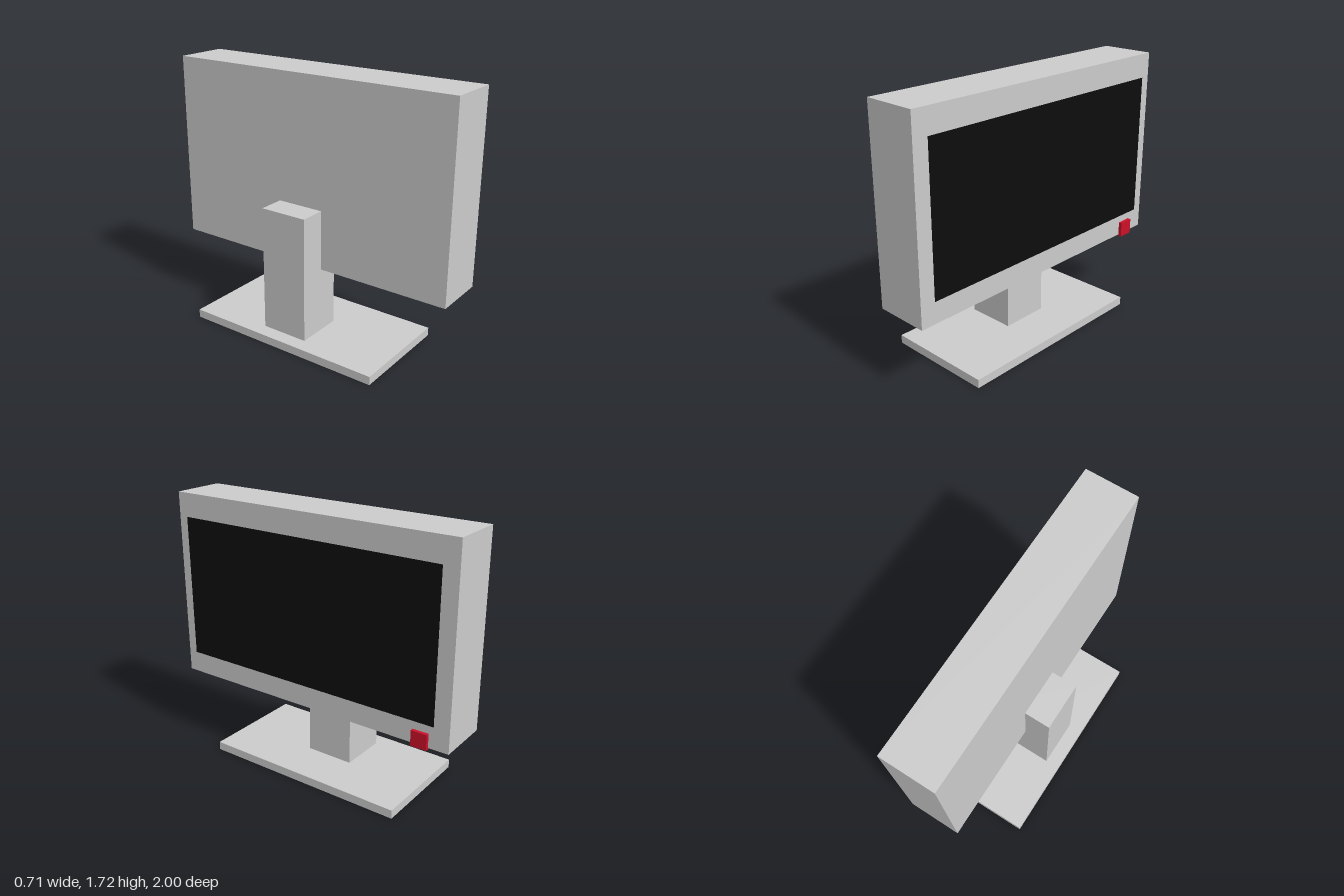
import * as THREE from 'three';

const grey = new THREE.MeshStandardMaterial({ color: 0xcccccc });
const red = new THREE.MeshStandardMaterial({ color: 0xcc1028 });
const black = new THREE.MeshStandardMaterial({ color: 0x0d0d0d, side: THREE.DoubleSide });

// Box given by its extents along each axis
function box(name, [x0, x1], [y0, y1], [z0, z1], material = grey) {
  const mesh = new THREE.Mesh(new THREE.BoxGeometry(x1 - x0, y1 - y0, z1 - z0), material);
  mesh.position.set((x0 + x1) / 2, (y0 + y1) / 2, (z0 + z1) / 2);
  mesh.name = name;
  return mesh;
}

export function createModel() {
  const monitor = new THREE.Group();
  monitor.name = 'monitor';

  // Stand and housing
  monitor.add(
    box('base', [-0.357, 0.357], [0, 0.056], [-0.703, 0.677]),
    box('stem', [-0.26, 0.06], [0.056, 0.885], [-0.197, 0.125]),
    box('housing', [-0.085, 0.265], [0.49, 1.72], [-1, 1]),
    box('powerButton', [0.195, 0.287], [0.48, 0.58], [-0.87, -0.767], red)
  );

  // Thin screen panel floating just off the housing, facing +x
  const screen = new THREE.Mesh(new THREE.PlaneGeometry(1.827, 0.93), black);
  screen.name = 'screen';
  screen.rotation.y = Math.PI / 2;
  screen.position.set(0.285, 1.106, 0.004);
  monitor.add(screen);

  return monitor;
}
